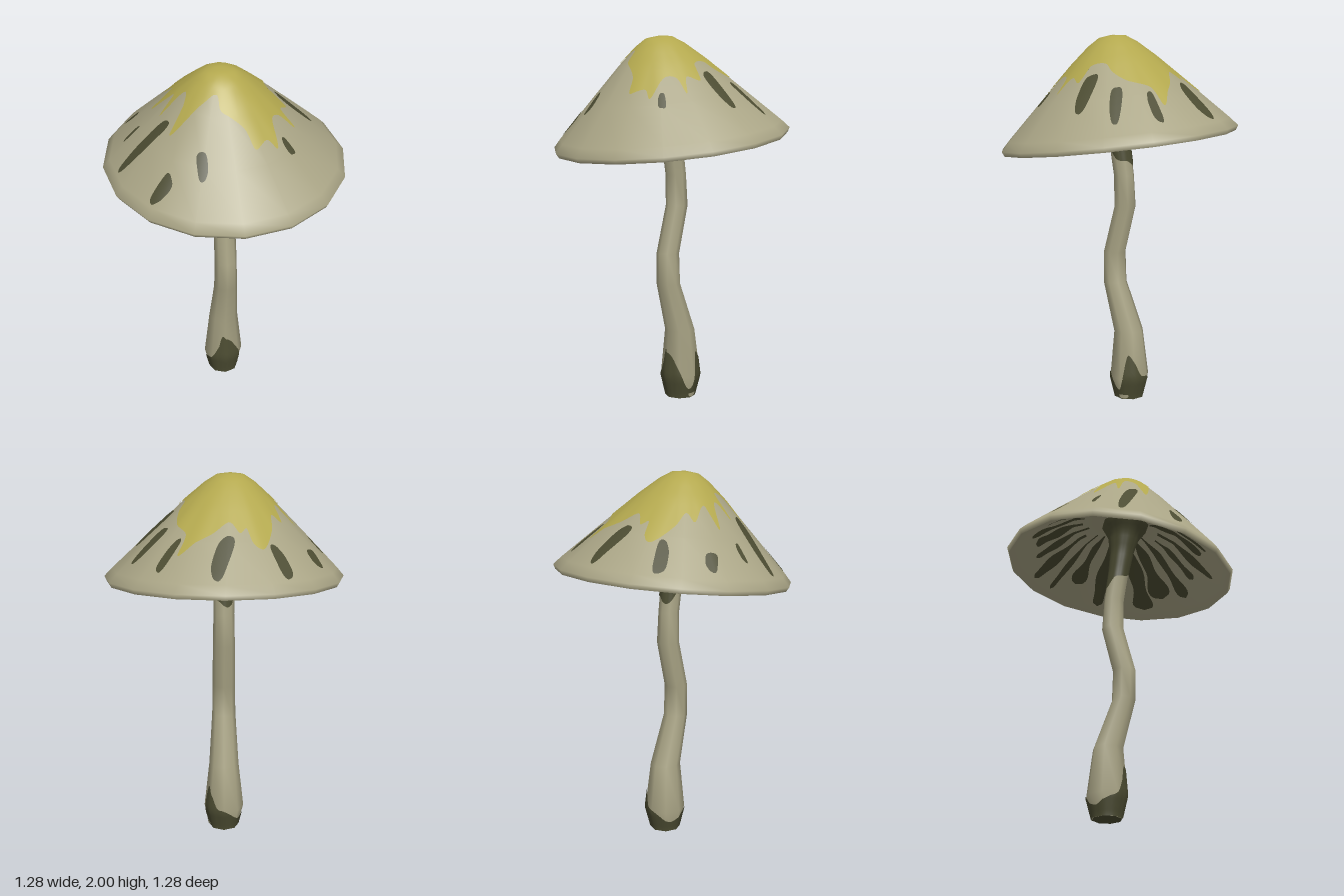
import * as THREE from 'three';
import { mergeVertices } from 'three/addons/utils/BufferGeometryUtils.js';

const V2 = (x, y) => new THREE.Vector2(x, y);
const V3 = (x, y, z) => new THREE.Vector3(x, y, z);
const { lerp } = THREE.MathUtils;

// profiles as [radius, height]; stem rings as [height, z offset, radius]
const CAP = [[0, 2.003], [0.07, 1.994], [0.13, 1.955], [0.23, 1.867], [0.415, 1.685], [0.6, 1.5], [0.64, 1.455], [0.627, 1.43]];
const UNDER = [[0.08, 1.75], [0.18, 1.74], [0.3, 1.69], [0.45, 1.57], [0.58, 1.46], [0.627, 1.43]];
const STEM = [[0, -0.064, 0.08], [0.12, -0.066, 0.11], [0.38, -0.06, 0.082], [0.65, 0.025, 0.065], [0.82, 0.028, 0.062],
  [1.08, -0.037, 0.06], [1.25, -0.03, 0.056], [1.43, -0.003, 0.058], [1.55, 0.015, 0.066], [1.66, 0.03, 0.09], [1.74, 0.04, 0.14]];
const CAP_SIDES = 16, STEM_SIDES = 8;

// linear lookup of column c in a table ordered by its first column
function lookup(table, x, c) {
  let i = 0;
  while (i < table.length - 2 && x > table[i + 1][0]) i++;
  const [p, q] = [table[i], table[i + 1]];
  return lerp(p[c], q[c], THREE.MathUtils.clamp((x - p[0]) / (q[0] - p[0]), 0, 1));
}

// how far a regular polygon's edge lies inside its circle at an angle
function polygonFactor(angle, sides) {
  const seg = 2 * Math.PI / sides;
  const d = THREE.MathUtils.euclideanModulo(angle, seg) - seg / 2;
  return Math.cos(seg / 2) / Math.cos(d);
}

// lean of the cap
function tilt(u, y, v) {
  const z = v + 0.11 * (y - 1.43);
  return V3(u - 0.06 * (y - 1.43), y - 0.127 * z, z);
}

// point of a tilted cap surface above plan position x, z
const capSurface = (profile) => (x, z) => {
  let u = x, v = z, y = 0;
  for (let k = 0; k < 8; k++) {
    y = lookup(profile, Math.hypot(u, v) / polygonFactor(Math.atan2(u, v), CAP_SIDES), 1);
    u = x + 0.06 * (y - 1.43);
    v = z - 0.11 * (y - 1.43);
  }
  return tilt(u, y, v);
};

// point of the stem at an angle and height
function stemSurface(a, y) {
  const r = lookup(STEM, y, 2) * polygonFactor(a, STEM_SIDES);
  return V3(r * Math.sin(a), y, r * Math.cos(a) + lookup(STEM, y, 1));
}

// thin painted sheet lifted off a surface; path(u, v) gives surface coordinates
function sheet(surface, side, lift, eps, nu, nv, path) {
  const pos = [], nor = [], idx = [];
  for (let j = 0; j <= nv; j++) for (let i = 0; i <= nu; i++) {
    const [a, b] = path(i / nu, j / nv);
    const da = surface(a + eps[0], b).sub(surface(a - eps[0], b));
    const db = surface(a, b + eps[1]).sub(surface(a, b - eps[1]));
    const n = db.cross(da).normalize().multiplyScalar(side);
    pos.push(...surface(a, b).addScaledVector(n, lift));
    nor.push(...n);
    if (i < nu && j < nv) {
      const p = j * (nu + 1) + i, q = p + nu + 1;
      if (side > 0) idx.push(p, q, p + 1, p + 1, q, q + 1);
      else idx.push(p, p + 1, q, p + 1, q + 1, q);
    }
  }
  const g = new THREE.BufferGeometry();
  g.setAttribute('position', new THREE.Float32BufferAttribute(pos, 3));
  g.setAttribute('normal', new THREE.Float32BufferAttribute(nor, 3));
  g.setIndex(idx);
  return g;
}

// slightly uneven blunt oval, stretched along direction da, db
const oval = (a, b, len, wid, da, db) => (u, v) => {
  const t = u * 2 * Math.PI, l = Math.hypot(da, db);
  const k = v * (1 + 0.08 * Math.sin(3 * t + a * 20));
  const blunt = (s) => Math.sign(s) * Math.abs(s) ** 0.75;
  const p = len * k * blunt(Math.cos(t)), q = wid * k * blunt(Math.sin(t));
  return [a + (p * da + q * db) / l, b + (p * db - q * da) / l];
};

// lathe with smooth normals and no seam, bent by a rule
function smoothLathe(points, sides, bend) {
  let g = new THREE.LatheGeometry(points, sides);
  const p = g.attributes.position;
  for (let i = 0; i < p.count; i++) p.setXYZ(i, ...bend(p.getX(i), p.getY(i), p.getZ(i)));
  g.deleteAttribute('uv');
  g.deleteAttribute('normal');
  g = mergeVertices(g, 1e-4);
  g.computeVertexNormals();
  return g;
}

export function createModel() {
  const model = new THREE.Group();
  model.name = 'mushroom';
  const material = (name, color) => Object.assign(new THREE.MeshStandardMaterial({ color }), { name });
  const tan = material('tan flesh', 0xaaa586);
  const yellow = material('yellow crown', 0xb3a84e);
  const dark = material('dark olive', 0x4c4c32);
  const add = (name, geometry, mat, parent = model) => {
    const m = new THREE.Mesh(geometry, mat);
    m.name = name;
    parent.add(m);
  };
  const group = (name) => {
    const g = new THREE.Group();
    g.name = name;
    model.add(g);
    return g;
  };

  // cap and its hollow underside
  add('cap', smoothLathe([...CAP].reverse().map(([r, y]) => V2(r, y)), CAP_SIDES, tilt), tan);
  add('capUnderside', smoothLathe(UNDER.map(([r, y]) => V2(r, y)), CAP_SIDES, tilt), tan);

  // ragged yellow crown
  const crown = [[-0.19, -0.39], [-0.145, -0.37], [-0.11, -0.3], [-0.08, -0.33], [-0.03, -0.285], [0.055, -0.33],
    [0.14, -0.36], [0.23, -0.39], [0.19, -0.29], [0.235, -0.2], [0.23, -0.09], [0.2, -0.03], [0.22, 0.04], [0.3, 0.07],
    [0.26, 0.13], [0.325, 0.185], [0.24, 0.18], [0.2, 0.22], [0.21, 0.335], [0.16, 0.32], [0.095, 0.37], [0.05, 0.31],
    [-0.06, 0.25], [-0.07, 0.195], [-0.14, 0.2], [-0.22, 0.215], [-0.31, 0.215], [-0.23, 0.15], [-0.21, 0.085], [-0.34, 0.07],
    [-0.26, 0.03], [-0.37, -0.06], [-0.26, -0.055], [-0.29, -0.16], [-0.24, -0.16], [-0.24, -0.25]];
  const outline = new THREE.CatmullRomCurve3(crown.reverse().map(([x, z]) => V3(x, 0, z)), true);
  add('yellowCrown', sheet(capSurface(CAP), 1, 0.004, [0.05, 0.05], 240, 24, (u, v) => {
    const p = outline.getPoint(u % 1);
    return [lerp(0, p.x, v), lerp(-0.02, p.z, v)];
  }), yellow);

  // dark spots on the cap: x, z, half length, half width, direction
  const spots = group('capSpots');
  for (const s of [[-0.285, -0.405, 0.08, 0.034, 0.5, 0.85], [0.01, -0.455, 0.11, 0.041, 0.35, -1],
    [0.28, -0.36, 0.085, 0.025, 0.65, -0.75], [0.375, -0.19, 0.098, 0.03, 0.9, -0.42], [0.355, -0.005, 0.1, 0.037, 1, -0.1],
    [-0.46, -0.225, 0.045, 0.031, 0.6, 0.8], [-0.48, -0.02, 0.042, 0.014, 1, 0.2], [-0.43, 0.14, 0.13, 0.031, 1, 0.08],
    [-0.375, 0.39, 0.057, 0.031, 1, -0.3], [-0.175, 0.4, 0.048, 0.026, 0, 1], [0.27, 0.305, 0.034, 0.02, 0.8, 0.6]])
    add('capSpot', sheet(capSurface(CAP), 1, 0.003, [0.06, 0.06], 36, 8, oval(...s)), dark, spots);

  // dark radial streaks under the cap, broadening towards the rim
  let seed = 7;
  const rnd = () => (seed = (seed * 16807) % 2147483647) / 2147483647;
  const gills = group('gillStreaks');
  for (let i = 0; i < 22; i++) {
    const mid = (i + 0.4 * rnd()) / 22 * 2 * Math.PI, phase = 6 * rnd();
    const r0 = 0.15 + 0.1 * rnd(), r1 = 0.45 + 0.12 * rnd(), half = 0.05 + 0.12 * rnd();
    add('gillStreak', sheet(capSurface(UNDER), -1, 0.005, [0.04, 0.04], 8, 28, (u, v) => {
      const w = half * (0.35 + 0.65 * v) * (1 + 0.3 * Math.sin(10 * v + phase)) * Math.sqrt(1 - v ** 8);
      const a = mid + (2 * u - 1) * w, r = lerp(r0, r1, v);
      return [r * Math.sin(a), r * Math.cos(a)];
    }), dark, gills);
  }

  // winding stem that flares into the cap
  add('stem', smoothLathe(STEM.map(([y, , r]) => V2(r, y)), STEM_SIDES,
    (x, y, z) => V3(x, y, z + lookup(STEM, y, 1))), tan);
  add('stemBottom', new THREE.CircleGeometry(0.08, STEM_SIDES).rotateX(Math.PI / 2).translate(0, 0, -0.064), dark);

  // dark foot with a wavy upper edge, heights listed around from the front
  const edge = [0.26, 0.23, 0.16, 0.07, 0.07, 0.25, 0.22, 0.14, 0.13, 0.1, 0.07, 0.06, 0.08, 0.1, 0.12, 0.2];
  const edgeCurve = new THREE.CatmullRomCurve3(edge.map((h, i) => V3(i, h, 0)), true);
  add('darkFoot', sheet(stemSurface, -1, 0.004, [0.3, 0.03], 64, 12,
    (u, v) => [u * 2 * Math.PI, v * edgeCurve.getPoint(u % 1).y]), dark);
  add('footFleck', sheet(stemSurface, -1, 0.007, [0.3, 0.03], 24, 4, oval(1.72, 0.018, 0.32, 0.012, 1, 0)), tan);

  // dark neck below the cap, with one pale fleck
  add('darkNeck', sheet(stemSurface, -1, 0.004, [0.3, 0.03], 64, 16, (u, v) => {
    const a = u * 2 * Math.PI;
    return [a, lerp(1.36 + 0.05 * Math.cos(a) + 0.015 * Math.sin(3 * a), 1.735, v)];
  }), dark);
  add('neckFleck', sheet(stemSurface, -1, 0.007, [0.3, 0.03], 24, 4, oval(2.2, 1.52, 0.045, 0.32, 0, 1)), tan);
  return model;
}
